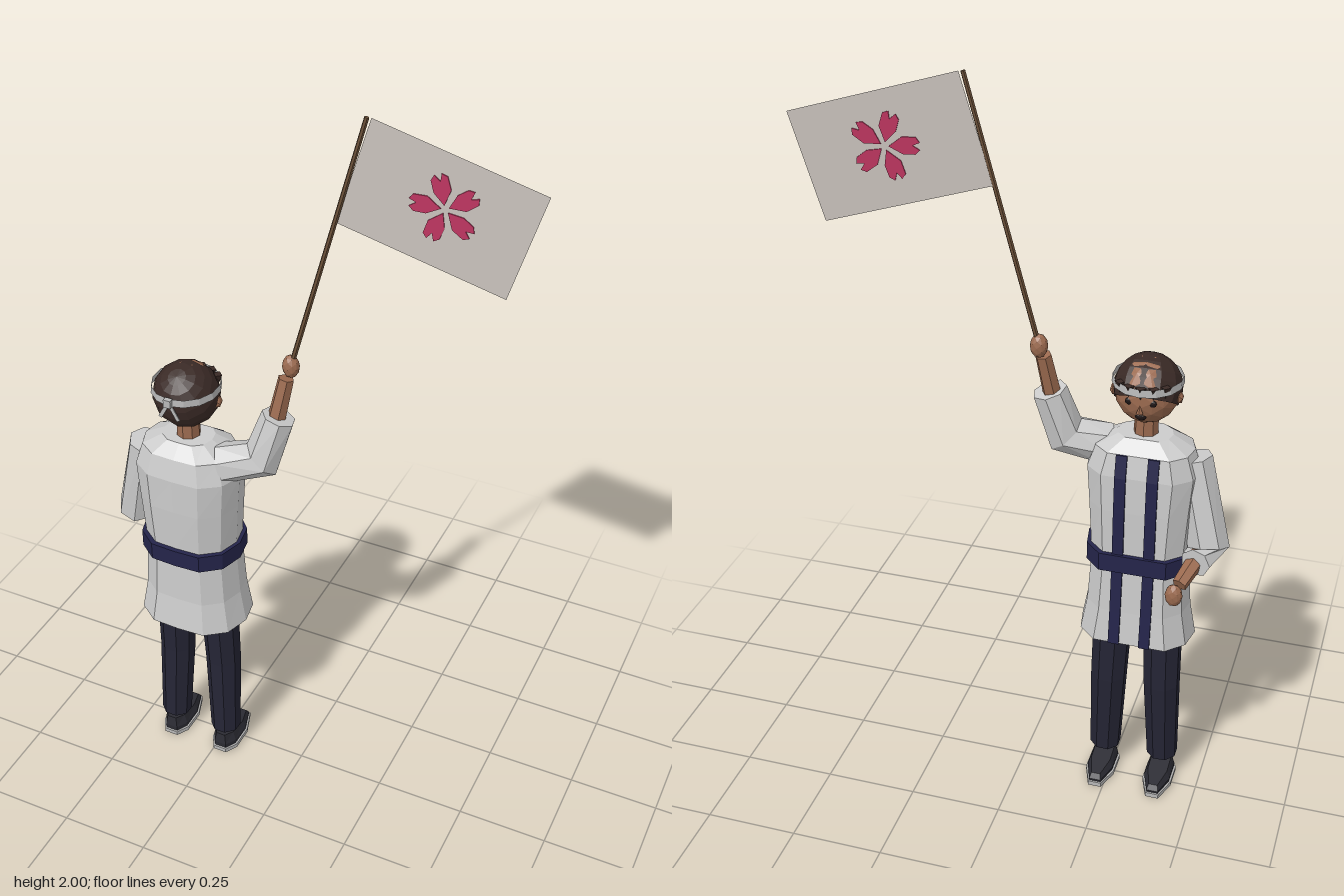
import * as THREE from 'three';

const V = (x, y, z) => new THREE.Vector3(x, y, z);
const mat = (color) => new THREE.MeshStandardMaterial({ color, flatShading: true, side: THREE.DoubleSide });
const M = {
  cloth: mat(0xcccccc), navy: mat(0x24244a), trousers: mat(0x252535), skin: mat(0x9c6b50), hair: mat(0x3a2a26),
  pole: mat(0x6b5038), flag: mat(0xc9c2bc), petal: mat(0xbd3560), shoe: mat(0x2c2c34), sole: mat(0xb8b8b8), dark: mat(0x1c1414),
};

function add(parent, name, geometry, material, x = 0, y = 0, z = 0) {
  const m = new THREE.Mesh(geometry, material);
  m.name = name;
  m.position.set(x, y, z);
  parent.add(m);
  return m;
}

// Skin a stack of equal-length rings, with optional end caps
function loft(rings, capStart = true, capEnd = true) {
  const n = rings[0].length, pos = [];
  const tri = (...p) => p.forEach((q) => pos.push(q.x, q.y, q.z));
  for (let i = 0; i < rings.length - 1; i++) {
    for (let j = 0; j < n; j++) {
      const k = (j + 1) % n, a = rings[i], b = rings[i + 1];
      tri(a[j], a[k], b[k]);
      tri(a[j], b[k], b[j]);
    }
  }
  const cap = (ring, flip) => {
    const c = ring.reduce((s, p) => s.add(p), V(0, 0, 0)).divideScalar(n);
    ring.forEach((p, j) => {
      const q = ring[(j + 1) % n];
      flip ? tri(c, q, p) : tri(c, p, q);
    });
  };
  if (capStart) cap(rings[0], true);
  if (capEnd) cap(rings[rings.length - 1], false);
  const g = new THREE.BufferGeometry();
  g.setAttribute('position', new THREE.Float32BufferAttribute(pos, 3));
  g.computeVertexNormals();
  return g;
}

// Faceted tube through points with one radius per point
function limb(points, radii, sides = 7, ref = V(0, 0, 1)) {
  return loft(points.map((p, i) => {
    const prev = points[Math.max(i - 1, 0)], next = points[Math.min(i + 1, points.length - 1)];
    const d = next.clone().sub(prev).normalize();
    const u = ref.clone().addScaledVector(d, -ref.dot(d)).normalize();
    const v = d.clone().cross(u);
    return Array.from({ length: sides }, (_, j) => {
      const t = (j + 0.5) / sides * Math.PI * 2;
      return p.clone().addScaledVector(u, Math.cos(t) * radii[i]).addScaledVector(v, Math.sin(t) * radii[i]);
    });
  }));
}

const CX = -0.31; // body centre line

// Coat cross-section: height, half width, back z, front z
const OUTLINE = [[0, 1], [0.5, 0.97], [0.86, 0.6], [1, 0], [0.92, -0.6], [0.62, -1],
  [-0.62, -1], [-0.92, -0.6], [-1, 0], [-0.86, 0.6], [-0.5, 0.97]];
const coatRing = ([y, w, back, front]) => OUTLINE.map(([a, b]) =>
  V(CX + a * w, y, (back + front) / 2 + b * (back - front) / 2));
const COAT = [
  [0.505, 0.155, 0.145, -0.08], [0.6, 0.138, 0.13, -0.072], [0.72, 0.131, 0.125, -0.066], [0.78, 0.132, 0.125, -0.065],
  [0.9, 0.14, 0.13, -0.067], [1.0, 0.148, 0.13, -0.066], [1.06, 0.128, 0.115, -0.055], [1.092, 0.07, 0.08, -0.02],
];

function buildCoat(g) {
  add(g, 'coat', loft(COAT.map(coatRing), false, true), M.cloth);
  add(g, 'belt', loft([[0.725, 0.142, 0.138, -0.077], [0.775, 0.142, 0.138, -0.077]].map(coatRing)), M.navy);
  for (const s of [-1, 1]) {
    const rings = COAT.slice(0, 7).map(([y, , , f]) => {
      const x = CX + s * 0.041, h = 0.0145;
      return [V(x - h, y, f + 0.002), V(x + h, y, f + 0.002), V(x + h, y, f - 0.005), V(x - h, y, f - 0.005)];
    });
    add(g, 'coatStripe', loft(rings), M.navy);
  }
}

function buildArms(g) {
  // raised arm
  add(g, 'raisedSleeve', limb([V(-0.21, 1.035, 0.04), V(-0.105, 1.065, 0.01), V(-0.068, 1.19, -0.01)], [0.055, 0.056, 0.045]), M.cloth);
  add(g, 'raisedForearm', limb([V(-0.08, 1.15, -0.005), V(-0.057, 1.295, -0.032)], [0.025, 0.021], 6), M.skin);
  const hand = add(g, 'raisedHand', new THREE.IcosahedronGeometry(0.023, 1), M.skin, -0.05, 1.325, -0.045);
  hand.scale.set(1, 1.4, 0.9);
  // lowered arm, bent forward
  const side = V(1, 0, 0);
  add(g, 'loweredSleeve', limb([V(-0.432, 1.035, 0.035), V(-0.488, 0.79, 0.015), V(-0.47, 0.785, -0.065)],
    [0.05, 0.055, 0.04], 7, side), M.cloth);
  add(g, 'loweredForearm', limb([V(-0.475, 0.79, -0.03), V(-0.442, 0.745, -0.115)], [0.025, 0.02], 6, side), M.skin);
  const fist = add(g, 'loweredHand', new THREE.IcosahedronGeometry(0.023, 1), M.skin, -0.432, 0.722, -0.131);
  fist.scale.set(1, 1.4, 0.75);
}

// Shoe layer: pointed oval whose height can slope from heel to toe
const shoeRing = (x, w, heel, toe, yHeel, yToe) =>
  [[0.5, 0], [1, 0.2], [1, 0.62], [0.45, 1], [-0.45, 1], [-1, 0.62], [-1, 0.2], [-0.5, 0]].map(([a, t]) =>
    V(x + a * w, yHeel + (yToe - yHeel) * t, heel + (toe - heel) * t));

function buildLegs(g) {
  for (const s of [-1, 1]) {
    const leg = new THREE.Group();
    leg.name = s > 0 ? 'leftLeg' : 'rightLeg';
    add(leg, 'trouserLeg', limb([V(CX + s * 0.082, 0.075, 0.04), V(CX + s * 0.074, 0.33, 0.024), V(CX + s * 0.066, 0.62, 0.028)],
      [0.043, 0.05, 0.055], 8), M.trousers);
    const x = CX + s * 0.082;
    add(leg, 'sole', loft([shoeRing(x, 0.04, 0.085, -0.08, 0.002, 0.002), shoeRing(x, 0.04, 0.085, -0.08, 0.015, 0.015)]), M.sole);
    add(leg, 'shoe', loft([shoeRing(x, 0.033, 0.078, -0.072, 0, 0), shoeRing(x, 0.036, 0.081, -0.076, 0.03, 0.022),
      shoeRing(x, 0.027, 0.076, -0.066, 0.062, 0.036)]), M.shoe);
    g.add(leg);
  }
}

function buildHead(g) {
  const head = new THREE.Group();
  head.name = 'head';
  head.position.set(CX, 1.215, 0.027);
  add(head, 'neck', new THREE.CylinderGeometry(0.03, 0.033, 0.1, 8), M.skin, 0, -0.11, 0);
  add(head, 'face', new THREE.IcosahedronGeometry(0.083, 2), M.skin, 0, 0, -0.003).scale.y = 1.06;
  const hair = add(head, 'hair', new THREE.SphereGeometry(0.088, 12, 7, 0, Math.PI * 2, 0, Math.PI * 0.62), M.hair);
  hair.rotation.x = 0.55;
  hair.scale.y = 1.02;
  add(head, 'headband', new THREE.CylinderGeometry(0.088, 0.09, 0.02, 14, 1, true), M.sole, 0, 0.027, 0).scale.z = 1.06;
  // knot and hanging tails behind the head
  add(head, 'knot', new THREE.BoxGeometry(0.02, 0.022, 0.014), M.sole, 0, 0.027, 0.096);
  for (const s of [-1, 1]) {
    const tail = add(head, 'headbandTail', new THREE.BoxGeometry(0.01, 0.05, 0.003), M.sole, s * 0.014, 0, 0.093);
    tail.rotation.z = s * 0.5;
    add(head, 'ear', new THREE.IcosahedronGeometry(0.017, 0), M.skin, s * 0.083, -0.01, -0.012).scale.x = 0.6;
    add(head, 'eye', new THREE.IcosahedronGeometry(0.01, 1), M.dark, s * 0.03, -0.004, -0.077).scale.z = 0.5;
  }
  // fringe tufts
  for (let i = -2; i <= 2; i++) {
    const a = i * 0.38;
    const tuft = add(head, 'fringe', new THREE.ConeGeometry(0.014, 0.035, 4), M.hair, Math.sin(a) * 0.083, 0.02, -Math.cos(a) * 0.083);
    tuft.rotation.x = Math.PI;
  }
  add(head, 'nose', new THREE.ConeGeometry(0.009, 0.022, 4), M.skin, 0, -0.02, -0.086);
  add(head, 'mouth', new THREE.IcosahedronGeometry(0.013, 1), M.dark, 0, -0.046, -0.071).scale.set(1.1, 0.8, 0.5);
  g.add(head);
}

function buildFlag(g) {
  add(g, 'flagPole', limb([V(-0.056, 1.3, -0.043), V(0.12, 1.999, -0.083)], [0.007, 0.006], 6), M.pole);
  const flag = new THREE.Group();
  flag.name = 'flag';
  const u = V(0.415, -0.12, -0.033).normalize();
  const n = u.clone().cross(V(0.063, 0.27, -0.012)).normalize();
  flag.quaternion.setFromRotationMatrix(new THREE.Matrix4().makeBasis(u, n.clone().cross(u), n));
  flag.position.set(0.299, 1.805, -0.095);
  add(flag, 'flagCloth', new THREE.PlaneGeometry(0.432, 0.278), M.flag);
  // five notched petals, showing on both faces
  const petal = new THREE.Shape([[0, 0.01], [0.022, 0.045], [0.019, 0.078], [0.006, 0.086], [0, 0.068],
    [-0.012, 0.084], [-0.022, 0.072], [-0.02, 0.042]].map(([x, y]) => new THREE.Vector2(x, y)));
  const geo = new THREE.ExtrudeGeometry(petal, { depth: 0.006, bevelEnabled: false });
  for (let i = 0; i < 5; i++) add(flag, 'petal', geo, M.petal, 0.01, 0.008, -0.003).rotation.z = 0.5 + i * Math.PI * 0.4;
  g.add(flag);
}

export function createModel() {
  const g = new THREE.Group();
  g.name = 'flagWaver';
  [buildCoat, buildArms, buildLegs, buildHead, buildFlag].forEach((build) => build(g));
  return g;
}
